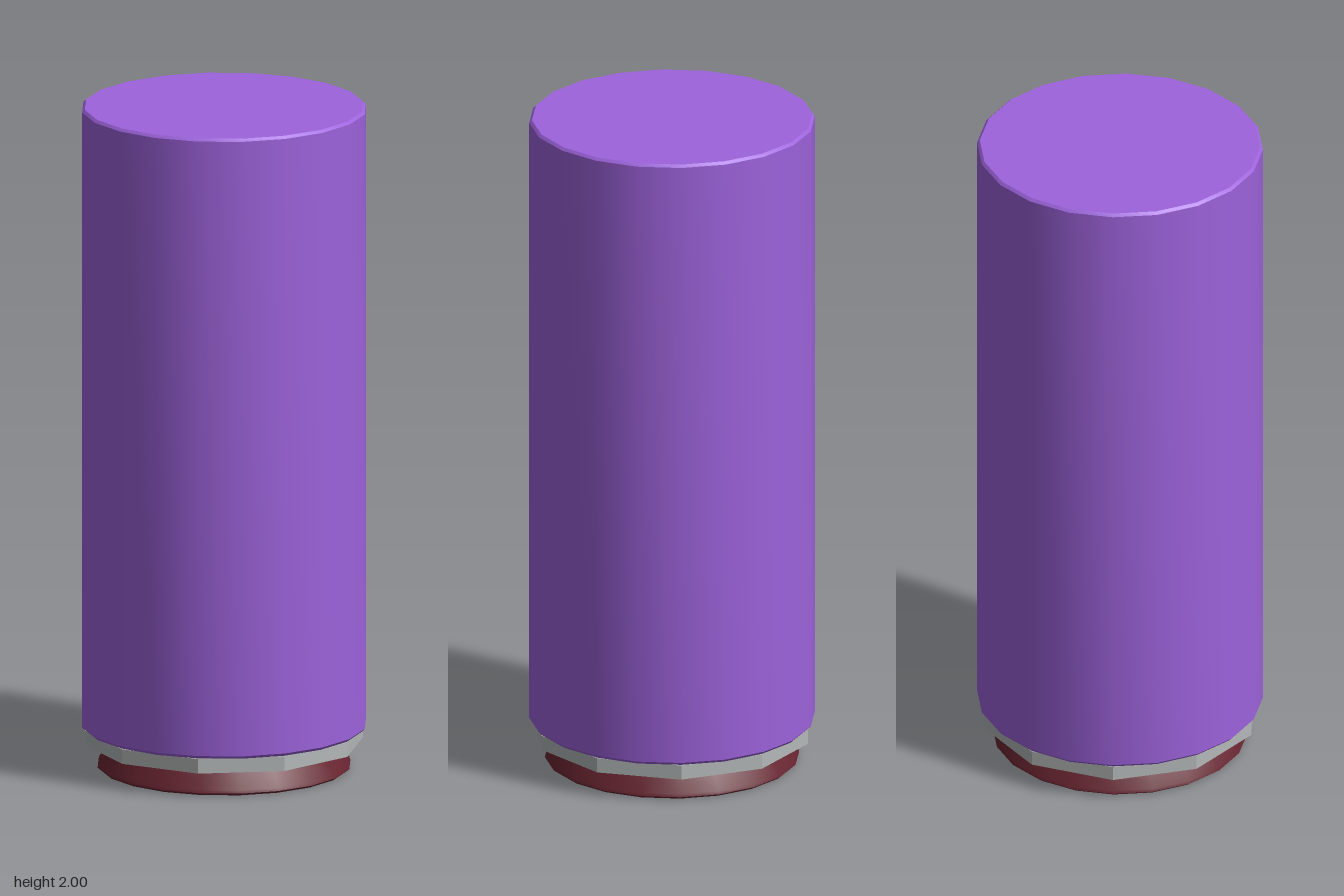
import * as THREE from 'three';
import { toCreasedNormals } from 'three/addons/utils/BufferGeometryUtils.js';

const paint = (name, color) => {
  const m = new THREE.MeshStandardMaterial({ color });
  m.name = name;
  return m;
};

// Turned part: profile of [radius, height] pairs, smooth around, crisp at bevels
function turned(name, profile, sides, crease, material) {
  const points = profile.map(([r, y]) => new THREE.Vector2(r, y));
  const geometry = toCreasedNormals(new THREE.LatheGeometry(points, sides), crease);
  const mesh = new THREE.Mesh(geometry, material);
  mesh.name = name;
  return mesh;
}

export function createModel() {
  const group = new THREE.Group();
  group.name = 'cartridge';
  const purple = paint('purple', 0x9d63dc);
  const metal = paint('lightGrey', 0xb4b8b8);
  const red = paint('darkRed', 0x672430);

  // Tall tube with small bevels at both ends
  group.add(turned('tube', [
    [0, 0.122], [0.412, 0.122], [0.421, 0.131], [0.421, 1.992], [0.413, 2], [0, 2],
  ], 20, 0.5, purple));

  // Ten-sided collar ring, corners on the x axis
  const collar = turned('collar', [
    [0.375, 0.076], [0.413, 0.076], [0.413, 0.12], [0.375, 0.12], [0.375, 0.076],
  ], 10, 0.1, metal);
  collar.rotation.y = Math.PI / 2;
  group.add(collar);

  // Flared base that narrows upward into the tube
  group.add(turned('base', [
    [0, 0], [0.366, 0], [0.375, 0.007], [0.372, 0.016], [0.332, 0.076], [0.305, 0.122], [0, 0.122],
  ], 20, 0.5, red));

  return group;
}
